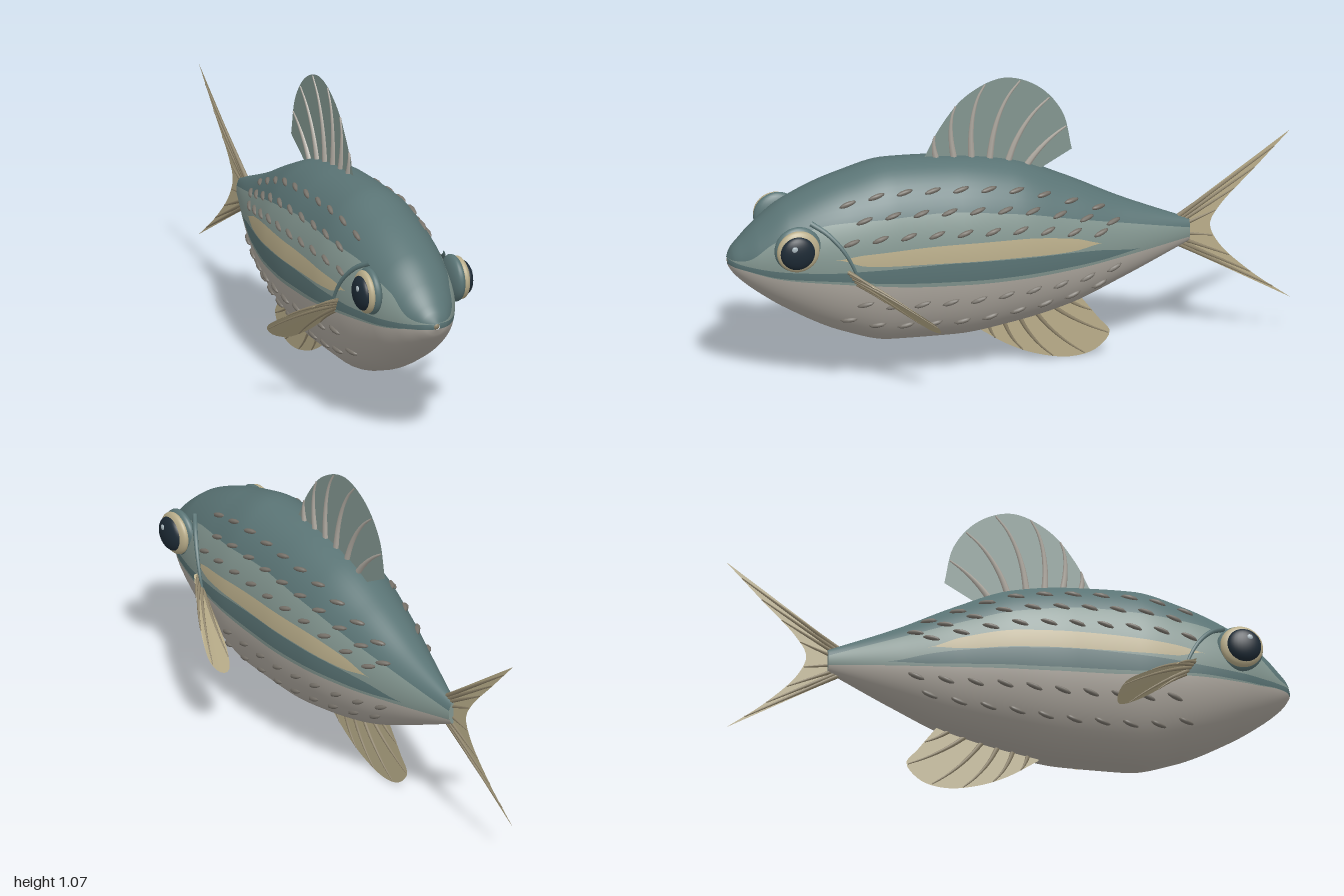
import * as THREE from 'three';
import { mergeGeometries } from 'three/addons/utils/BufferGeometryUtils.js';

const V = (x, y, z) => new THREE.Vector3(x, y, z);
const paint = (name, color, side = THREE.FrontSide) => {
  const m = new THREE.MeshStandardMaterial({ color, side });
  m.name = name;
  return m;
};

// Body stations: z, top y, bottom y, half width
const BODY = [
  [1, 0.5, 0.478, 0.012], [0.985, 0.53, 0.45, 0.045], [0.95, 0.567, 0.412, 0.077],
  [0.9, 0.615, 0.37, 0.11], [0.8, 0.69, 0.3, 0.155], [0.6, 0.772, 0.195, 0.198],
  [0.43, 0.81, 0.147, 0.212], [0.2, 0.8, 0.143, 0.212], [0, 0.768, 0.168, 0.198],
  [-0.2, 0.685, 0.213, 0.158], [-0.4, 0.585, 0.293, 0.1], [-0.64, 0.483, 0.4, 0.02],
];
// Colour edges: z, back, cream top, cream bottom, stripe top, stripe bottom, belly
const EDGES = [
  [1, 0.5, 0.5, 0.5, 0.5, 0.48, 0.48], [0.95, 0.51, 0.495, 0.495, 0.492, 0.475, 0.474],
  [0.85, 0.585, 0.51, 0.51, 0.485, 0.46, 0.456], [0.65, 0.65, 0.53, 0.53, 0.482, 0.45, 0.44],
  [0.55, 0.657, 0.545, 0.503, 0.485, 0.44, 0.43], [0.3, 0.665, 0.555, 0.492, 0.488, 0.42, 0.405],
  [0, 0.63, 0.546, 0.48, 0.476, 0.41, 0.396], [-0.2, 0.578, 0.512, 0.468, 0.462, 0.41, 0.398],
  [-0.3, 0.55, 0.476, 0.476, 0.45, 0.412, 0.402], [-0.45, 0.508, 0.45, 0.45, 0.424, 0.424, 0.41],
  [-0.64, 0.455, 0.44, 0.44, 0.43, 0.43, 0.42],
];

// Smooth monotone interpolation of a station table
function lookup(table, z) {
  let i = 0;
  while (i < table.length - 2 && z < table[i + 1][0]) i++;
  const a = table[i], b = table[i + 1], d = b[0] - a[0];
  const t = THREE.MathUtils.clamp((z - a[0]) / d, 0, 1);
  return a.slice(1).map((_, k) => {
    const sec = j => (table[j + 1][k + 1] - table[j][k + 1]) / (table[j + 1][0] - table[j][0]);
    const slope = j => {
      if (j === 0) return sec(0);
      if (j === table.length - 1) return sec(j - 1);
      const p = sec(j - 1), q = sec(j);
      return p * q <= 0 ? 0 : 2 * p * q / (p + q);
    };
    const t2 = t * t, t3 = t2 * t;
    return a[k + 1] * (2 * t3 - 3 * t2 + 1) + slope(i) * d * (t3 - 2 * t2 + t)
      + b[k + 1] * (3 * t2 - 2 * t3) + slope(i + 1) * d * (t3 - t2);
  });
}

const section = z => {
  const [top, bot, w] = lookup(BODY, z);
  return { c: (top + bot) / 2, h: (top - bot) / 2, w };
};
// Angle on the section at a given height
const angleAt = (z, y) => {
  const s = section(z);
  return Math.asin(THREE.MathUtils.clamp((y - s.c) / s.h, -1, 1));
};
// Point and normal on the body surface
function surface(z, a, side) {
  const s = section(z), e = 0.004;
  const z1 = Math.min(1, z + e), z0 = Math.max(-0.64, z - e);
  const p = section(z1), q = section(z0), d = z1 - z0;
  const cos = Math.cos(a), sin = Math.sin(a);
  const nz = -cos * cos * (p.w - q.w) / d / s.w - sin * (p.c - q.c) / d / s.h - sin * sin * (p.h - q.h) / d / s.h;
  return {
    point: V(side * s.w * cos, s.c + s.h * sin, z),
    normal: V(side * cos / s.w, sin / s.h, nz).normalize(),
  };
}

// Grid of (u, v) points turned into a geometry
function grid(nu, nv, at, flip) {
  const pos = [], nor = [], idx = [];
  for (let i = 0; i <= nu; i++) for (let j = 0; j <= nv; j++) {
    const { point, normal } = at(i / nu, j / nv);
    pos.push(...point.toArray());
    if (normal) nor.push(...normal.toArray());
    if (i < nu && j < nv) {
      const a = i * (nv + 1) + j, b = a + nv + 1;
      idx.push(...(flip ? [a, b, a + 1, b, b + 1, a + 1] : [a, a + 1, b, b, a + 1, b + 1]));
    }
  }
  const g = new THREE.BufferGeometry();
  g.setAttribute('position', new THREE.Float32BufferAttribute(pos, 3));
  g.setIndex(idx);
  if (nor.length) g.setAttribute('normal', new THREE.Float32BufferAttribute(nor, 3));
  else g.computeVertexNormals();
  return g;
}

// Tube that narrows to a fraction of its radius
function taperedTube(points, r, end) {
  const curve = new THREE.CatmullRomCurve3(points), n = 14, sides = 7;
  const g = new THREE.TubeGeometry(curve, n, r, sides), p = g.attributes.position, v = V(0, 0, 0);
  for (let i = 0; i < p.count; i++) {
    const t = Math.floor(i / (sides + 1)) / n;
    v.fromBufferAttribute(p, i).lerp(curve.getPointAt(t), t * (1 - end));
    p.setXYZ(i, v.x, v.y, v.z);
  }
  return g;
}

export function createModel() {
  const root = new THREE.Group();
  root.name = 'fish';
  const mat = {
    back: paint('deep teal', 0x5a7475),
    flank: paint('pale teal', 0x82958f),
    cream: paint('cream', 0xb9ad8a),
    belly: paint('belly grey', 0xb0aaa1),
    scale: paint('scale brown', 0x77726a),
    ray: paint('ray tan', 0x8d8269),
    pupil: paint('pupil navy', 0x1d2a35),
    glint: paint('eye glint', 0xaab8bf),
    finTeal: paint('fin teal', 0x82958f, THREE.DoubleSide),
    finCream: paint('fin cream', 0xb9ad8a, THREE.DoubleSide),
  };
  const add = (name, geo, material, parent = root) => {
    const m = new THREE.Mesh(geo, material);
    m.name = name;
    parent.add(m);
    return m;
  };

  // Body: colour bands from back to belly on both sides
  const bands = [['back', 'back', 10], ['upperFlank', 'flank', 5], ['creamStripe', 'cream', 3],
    ['middleFlank', 'flank', 2], ['darkStripe', 'back', 3], ['lowerFlank', 'flank', 2], ['belly', 'belly', 12]];
  for (const side of [1, -1]) bands.forEach(([name, key, n], k) => {
    const at = (u, v) => {
      const z = 1 - 1.64 * Math.pow(u, 1.35), e = lookup(EDGES, z);
      const hi = k === 0 ? Math.PI / 2 : angleAt(z, e[k - 1]);
      const lo = k === 6 ? -Math.PI / 2 : angleAt(z, e[k]);
      return surface(z, hi + (lo - hi) * v, side);
    };
    add(name, grid(80, n, at, side < 0), mat[key]);
  });
  const cap = add('tailRoot', new THREE.CircleGeometry(1, 20), mat.flank);
  cap.scale.set(0.02, 0.0415, 1);
  cap.position.set(0, 0.4415, -0.64);
  cap.rotation.y = Math.PI;
  add('mouth', new THREE.SphereGeometry(0.015, 14, 10), mat.ray).position.set(0, 0.489, 0.985);

  // Scales: rows of small raised slivers
  const slivers = [];
  for (const side of [1, -1]) [0.78, 0.58, 0.36, -0.42, -0.69].forEach((u, row) => {
    for (let i = 0; i < 10; i++) {
      const z = 0.6 - 0.1 * i - (row % 2) * 0.05;
      const { point, normal } = surface(z, Math.asin(u), side);
      const along = V(0, 0.35, -1).projectOnPlane(normal).normalize();
      const m = new THREE.Matrix4().makeBasis(normal, along.clone().cross(normal), along).setPosition(point);
      slivers.push(new THREE.SphereGeometry(1, 8, 6).scale(0.011, 0.009, 0.031).applyMatrix4(m));
    }
  });
  add('scales', mergeGeometries(slivers), mat.scale);

  // Fins: a sheet from a base line to an outer edge, with rays along it
  function fin(name, basePts, edgePts, bow, sheetMat, rayMat, rays, r) {
    const g = new THREE.Group();
    g.name = name;
    root.add(g);
    const base = new THREE.CatmullRomCurve3(basePts);
    const edge = new THREE.CatmullRomCurve3(edgePts, false, 'centripetal');
    const at = (u, v) => base.getPoint(u).lerp(edge.getPointAt(u), v)
      .addScaledVector(bow, 4 * v * (1 - v) * Math.sin(Math.PI * u));
    add(name + 'Sheet', grid(40, 8, (u, v) => ({ point: at(u, v) })), sheetMat, g);
    const tubes = [];
    for (let i = 0; i < rays; i++) {
      const u = (i + 0.7) / (rays + 0.4);
      tubes.push(taperedTube([0, 0.25, 0.5, 0.75, 0.98].map(v => at(u, v)), r, 0.25));
    }
    add(name + 'Rays', mergeGeometries(tubes), rayMat, g);
  }
  const flat = list => list.map(([z, y]) => V(0, y, z));

  fin('dorsalFin', flat([[0.3, 0.795], [0.1, 0.775], [-0.1, 0.715]]),
    flat([[0.3, 0.8], [0.24, 0.915], [0.15, 1.02], [0.02, 1.075], [-0.1, 1.035], [-0.19, 0.93], [-0.225, 0.785]]),
    V(0, 0.03, 0.02), mat.finTeal, mat.belly, 6, 0.013);
  fin('analFin', flat([[0.11, 0.16], [-0.06, 0.19], [-0.24, 0.24]]),
    flat([[0.11, 0.145], [0, 0.072], [-0.1, 0.028], [-0.22, 0.005], [-0.31, 0.025], [-0.36, 0.085], [-0.32, 0.14], [-0.25, 0.235]]),
    V(0, -0.01, 0.01), mat.finCream, mat.ray, 6, 0.009);
  fin('tailFin', flat([[-0.58, 0.487], [-0.58, 0.44], [-0.58, 0.395]]),
    flat([[-1, 0.78], [-0.87, 0.645], [-0.75, 0.52], [-0.715, 0.455], [-0.745, 0.38], [-0.86, 0.26], [-1, 0.15]]),
    V(0, 0, 0), mat.finCream, mat.ray, 8, 0.009);

  for (const side of [1, -1]) {
    const label = side > 0 ? 'left' : 'right';
    // Pectoral fin swept back and down
    fin(label + 'PectoralFin',
      [V(side * 0.2, 0.495, 0.62), V(side * 0.2, 0.465, 0.6), V(side * 0.195, 0.43, 0.58)],
      [V(side * 0.215, 0.495, 0.62), V(side * 0.265, 0.44, 0.53), V(side * 0.325, 0.37, 0.41),
        V(side * 0.344, 0.315, 0.335), V(side * 0.315, 0.277, 0.315), V(side * 0.27, 0.265, 0.33),
        V(side * 0.225, 0.31, 0.41), V(side * 0.2, 0.42, 0.56)],
      V(side * 0.01, 0.008, 0), mat.finCream, mat.ray, 5, 0.008);

    // Eye: socket, iris, pupil and glint
    const eye = new THREE.Group();
    eye.name = label + 'Eye';
    root.add(eye);
    const ball = (name, m, x, y, z, sx, sr) => {
      const b = add(name, new THREE.SphereGeometry(1, 28, 20), m, eye);
      b.scale.set(sx, sr, sr);
      b.position.set(side * x, y, z);
    };
    ball('socket', mat.back, 0.158, 0.573, 0.785, 0.03, 0.083);
    ball('iris', mat.cream, 0.178, 0.573, 0.788, 0.027, 0.076);
    ball('pupil', mat.pupil, 0.192, 0.573, 0.793, 0.027, 0.061);
    ball('glint', mat.glint, 0.214, 0.596, 0.808, 0.005, 0.011);

    // Gill cover ridge behind the eye
    const ridge = [[0.73, 0.65], [0.68, 0.62], [0.63, 0.565], [0.595, 0.5], [0.58, 0.455]].map(([z, y]) => {
      const s = surface(z, angleAt(z, y), side);
      return s.point.addScaledVector(s.normal, 0.008);
    });
    add(label + 'GillRidge', taperedTube(ridge, 0.01, 0.5), mat.back);
  }
  return root;
}
